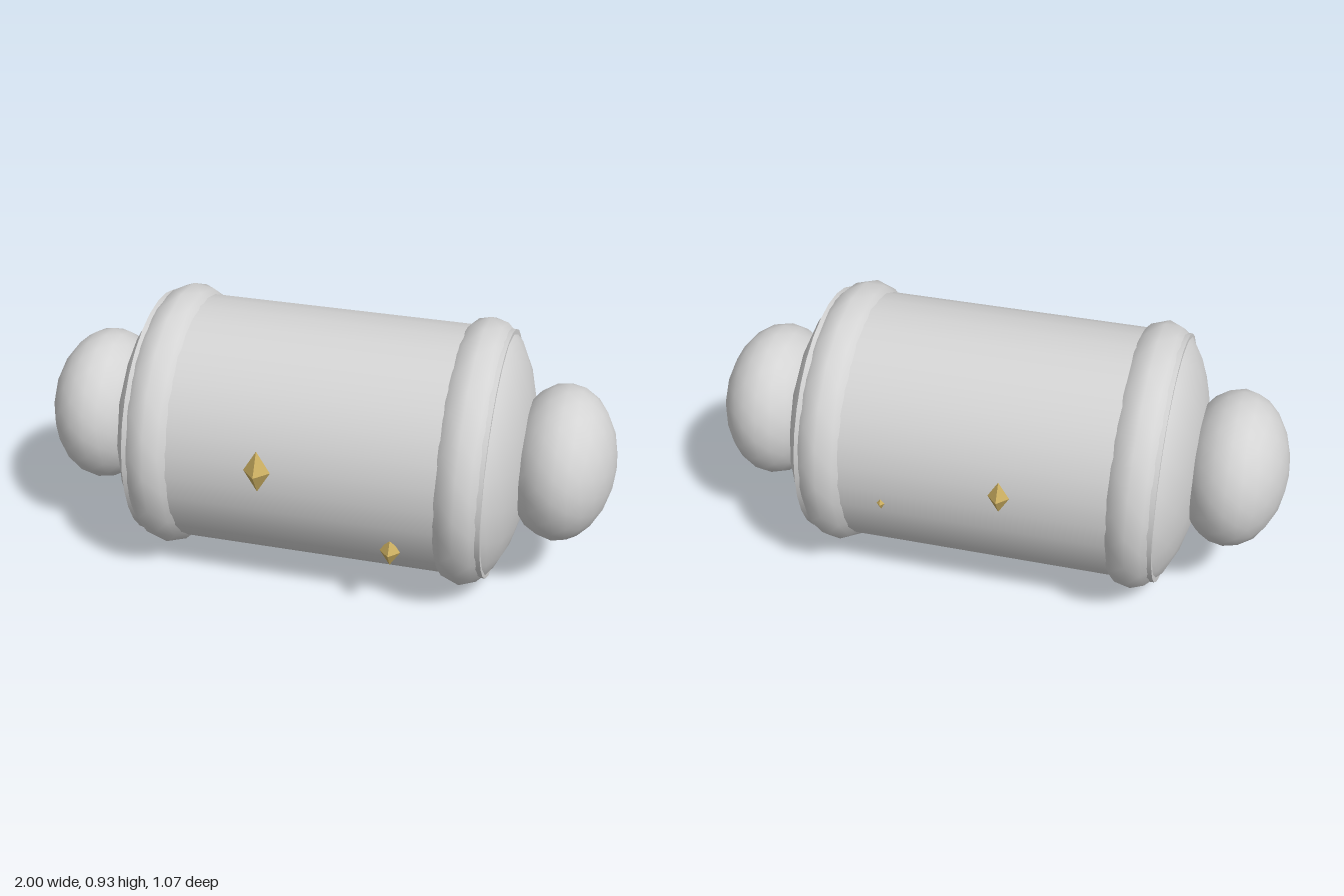
import * as THREE from 'three';

const CY = 0.47, CZ = -0.005; // axis of the barrel

export function createModel() {
  const grey = new THREE.MeshStandardMaterial({ color: 0xd4d4d4 });
  grey.name = 'pale grey';
  const gold = new THREE.MeshStandardMaterial({ color: 0xcdb062, flatShading: true });
  gold.name = 'gold';

  const model = new THREE.Group();
  model.name = 'barrel';

  const add = (name, geometry, material, x, y, z) => {
    const mesh = new THREE.Mesh(geometry, material);
    mesh.name = name;
    mesh.position.set(x, y, z);
    model.add(mesh);
  };

  // Low-poly ball with a vertex on the x axis, flattened along x
  const flatBall = (halfWidth, radius) => {
    const g = new THREE.IcosahedronGeometry(1, 3);
    g.rotateZ(-Math.atan2((1 + Math.sqrt(5)) / 2, 1));
    return g.scale(halfWidth, radius, radius);
  };

  // Main cylinder lying along x
  const body = new THREE.CylinderGeometry(0.43, 0.43, 1.22, 32).rotateZ(Math.PI / 2);
  add('body', body, grey, 0, CY, CZ);

  // Rounded caps and end knobs on both sides
  const cap = flatBall(0.195, 0.465);
  const knob = flatBall(0.185, 0.27);
  for (const [side, s] of [['left', 1], ['right', -1]]) {
    add(side + 'Cap', cap, grey, s * 0.525, CY, CZ);
    add(side + 'Knob', knob, grey, s * 0.815, CY, CZ);
  }

  // Crystals: x, y, z, half width, half height
  const crystals = [
    ['frontCrystal', -0.115, 0.585, 0.49, 0.045, 0.076],
    ['backCrystal', -0.115, 0.585, -0.498, 0.036, 0.06],
    ['lowerFrontCrystal', 0.31, 0.28, 0.392, 0.035, 0.054],
    ['lowerBackCrystal', 0.31, 0.42, -0.412, 0.032, 0.05],
  ];
  for (const [name, x, y, z, w, h] of crystals) {
    add(name, new THREE.OctahedronGeometry(1).scale(w, h, w), gold, x, y, z);
  }

  return model;
}
